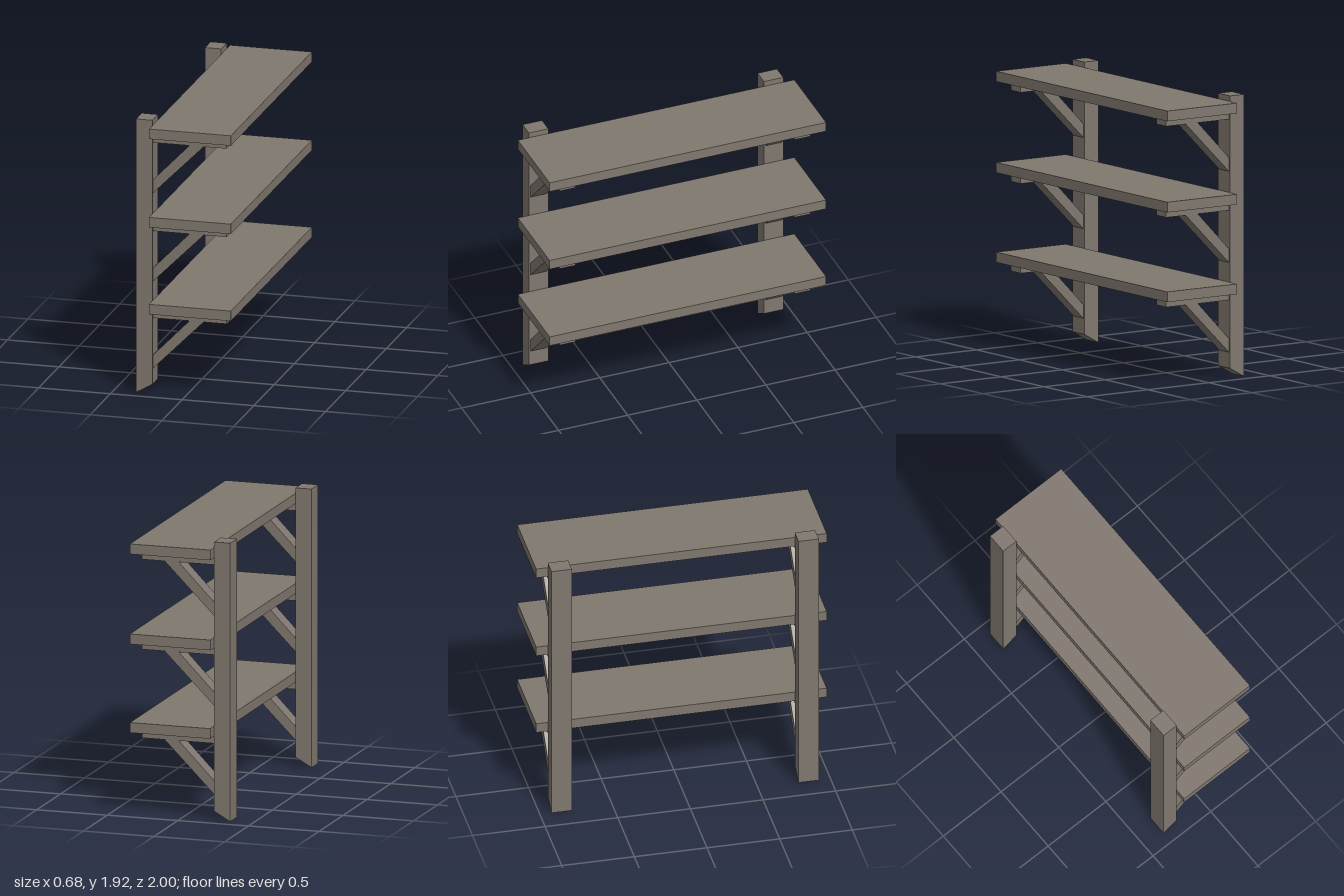
import * as THREE from 'three';

export function createModel() {
  const group = new THREE.Group();
  const wood = new THREE.MeshStandardMaterial({ color: 0x80786f });
  wood.name = 'weatheredWood';

  // Extrudes an x-y outline to a given width, centred on z
  function plank(name, points, width, z) {
    const shape = new THREE.Shape(points.map(([x, y]) => new THREE.Vector2(x, y)));
    const geometry = new THREE.ExtrudeGeometry(shape, { depth: width, bevelEnabled: false });
    geometry.translate(0, 0, z - width / 2);
    const mesh = new THREE.Mesh(geometry, wood);
    mesh.name = name;
    group.add(mesh);
  }

  const back = -0.343, wall = -0.23, front = 0.34;
  const shelfBottoms = [0.58, 1.19, 1.81];
  const boardThickness = 0.07, railThickness = 0.052;

  // Shelf boards
  for (const y of shelfBottoms) {
    const board = new THREE.Mesh(new THREE.BoxGeometry(front - wall, boardThickness, 2), wood);
    board.position.set((front + wall) / 2, y + boardThickness / 2, 0);
    board.name = 'shelfBoard';
    group.add(board);
  }

  for (const z of [-0.85, 0.85]) {
    // Upright post with a slanted foot
    plank('post', [[back, 0], [wall, 0.065], [wall, 1.918], [back, 1.918]], 0.14, z);

    for (const y of shelfBottoms) {
      const under = y - railThickness;
      // Rail under the board
      plank('supportRail', [[wall, under], [0.285, under], [0.285, y], [wall, y]], 0.115, z);
      // Diagonal brace from post to rail
      plank('brace', [[wall, under - 0.355], [0.125, under], [0.025, under], [wall, under - 0.262]], 0.115, z);
    }
  }
  return group;
}
